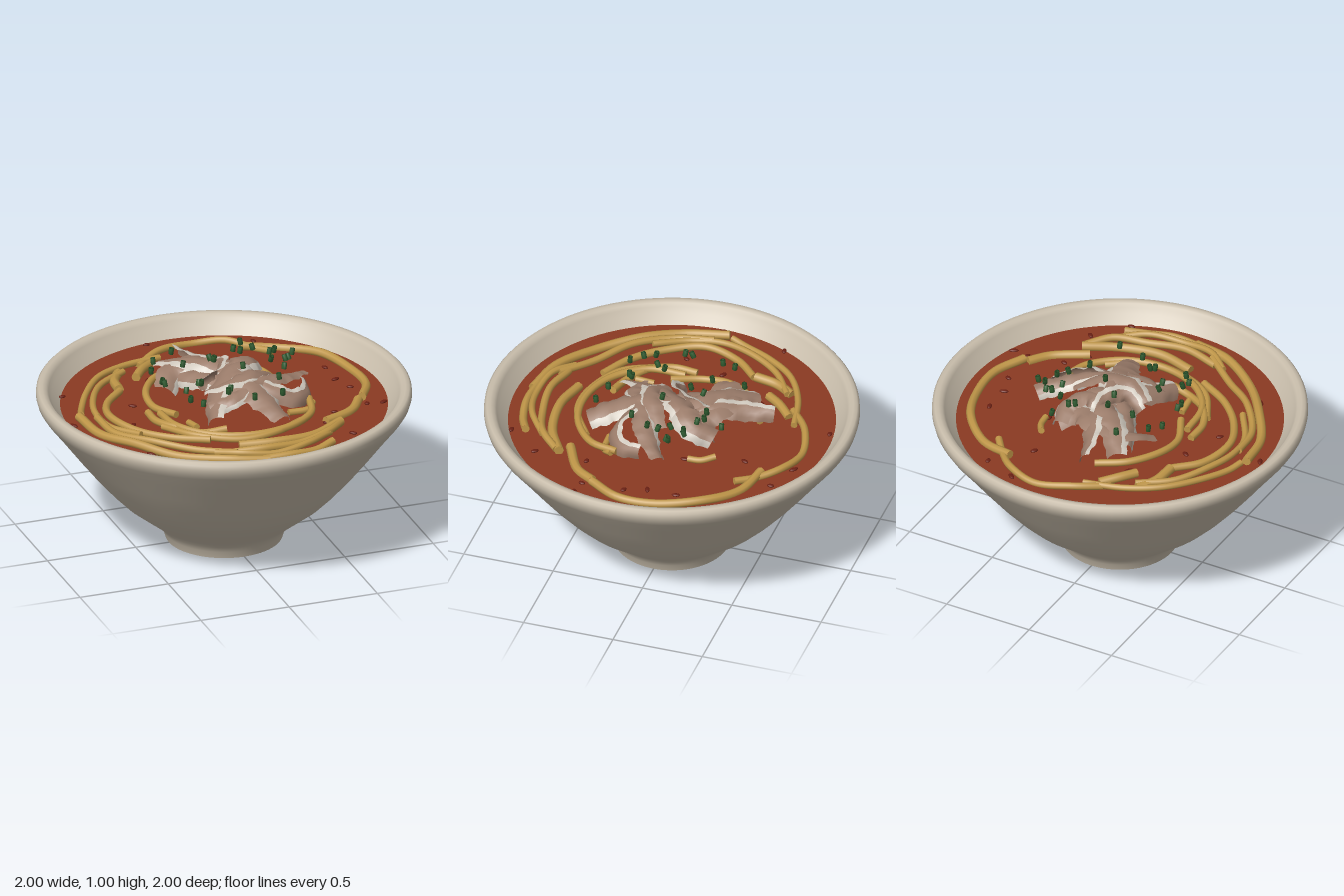
import * as THREE from 'three';

const flat = (name, color, side = THREE.FrontSide) => {
  const m = new THREE.MeshStandardMaterial({ color, side });
  m.name = name;
  return m;
};

export function createModel() {
  const ceramic = flat('ceramic', 0xc8bdab);
  const brothRed = flat('brothRed', 0x8b3a22);
  const noodleGold = flat('noodleGold', 0xbf9648);
  const meatBrown = flat('meatBrown', 0x9c7d6b, THREE.DoubleSide);
  const fatCream = flat('fatCream', 0xcfc8bd, THREE.DoubleSide);
  const scallionGreen = flat('scallionGreen', 0x2f5c30, THREE.DoubleSide);
  const chiliRed = flat('chiliRed', 0x6a2014);

  const model = new THREE.Group();
  model.name = 'noodleBowl';
  const group = (name) => {
    const g = new THREE.Group();
    g.name = name;
    model.add(g);
    return g;
  };
  const add = (parent, name, geometry, material) => {
    const m = new THREE.Mesh(geometry, material);
    m.name = name;
    parent.add(m);
    return m;
  };

  // Bowl: outer wall, rounded rim and inner wall in one profile
  const profile = [
    [0.312, 0], [0.325, 0.04], [0.345, 0.075], [0.375, 0.105], [0.46, 0.172], [0.555, 0.248],
    [0.63, 0.325], [0.72, 0.43], [0.81, 0.545], [0.9, 0.665], [0.97, 0.755], [0.992, 0.79],
    [1, 0.82], [0.998, 0.845], [0.985, 0.859], [0.965, 0.861], [0.945, 0.855], [0.932, 0.838],
    [0.915, 0.81], [0.862, 0.745], [0.84, 0.72],
  ].map(([r, y]) => new THREE.Vector2(r, y));
  const bowl = group('bowl');
  add(bowl, 'bowlWall', new THREE.LatheGeometry(profile, 96), ceramic);
  add(bowl, 'bowlBase', new THREE.CircleGeometry(0.312, 96).rotateX(Math.PI / 2), ceramic);

  // Broth
  const BROTH = 0.762;
  const broth = add(model, 'broth', new THREE.CircleGeometry(0.872, 96).rotateX(-Math.PI / 2), brothRed);
  broth.position.y = BROTH;

  // Noodles: tubes through [x, z] points, gently rising out of the broth
  const noodles = group('noodles');
  const noodle = (r, lift, ...pts) => {
    const path = new THREE.CatmullRomCurve3(pts.map(([x, z], i) =>
      new THREE.Vector3(x, BROTH + lift + 0.008 * Math.sin(i * 2.1 + x * 5), z)));
    add(noodles, 'noodle', new THREE.TubeGeometry(path, 40, r, 8), noodleGold);
    for (const end of [0, 1]) {
      const cap = add(noodles, 'noodleEnd', new THREE.CircleGeometry(r, 8), noodleGold);
      cap.position.copy(path.getPointAt(end));
      const t = path.getTangentAt(end).multiplyScalar(end ? 1 : -1);
      cap.quaternion.setFromUnitVectors(new THREE.Vector3(0, 0, 1), t);
    }
  };
  noodle(0.02, 0.016, [-0.27, -0.59], [-0.1, -0.71], [0.1, -0.76], [0.27, -0.71], [0.38, -0.6], [0.46, -0.5]);
  noodle(0.024, 0.014, [0.33, -0.61], [0.52, -0.55], [0.69, -0.39], [0.78, -0.15], [0.785, 0.05], [0.7, 0.22]);
  noodle(0.026, 0.012, [0.68, 0.22], [0.6, 0.33], [0.42, 0.43]);
  noodle(0.018, 0.02, [-0.13, -0.64], [-0.35, -0.59], [-0.53, -0.49], [-0.66, -0.33], [-0.75, -0.16], [-0.78, -0.08]);
  noodle(0.018, 0.03, [-0.38, -0.52], [-0.55, -0.4], [-0.66, -0.22], [-0.71, -0.05], [-0.69, 0.12], [-0.58, 0.3]);
  noodle(0.027, 0.016, [-0.4, -0.54], [-0.46, -0.44], [-0.48, -0.31]);
  noodle(0.025, 0.016, [-0.2, -0.59], [-0.28, -0.51], [-0.34, -0.43]);
  noodle(0.021, 0.025, [-0.48, -0.3], [-0.6, -0.17], [-0.65, 0.02], [-0.57, 0.22], [-0.43, 0.37], [-0.25, 0.47]);
  noodle(0.025, 0.018, [-0.8, -0.06], [-0.76, 0.17], [-0.64, 0.37], [-0.47, 0.58], [-0.25, 0.73], [-0.03, 0.79]);
  noodle(0.02, 0.028, [-0.72, 0.0], [-0.69, 0.2], [-0.55, 0.4], [-0.36, 0.55], [-0.18, 0.69]);
  noodle(0.021, 0.02, [-0.43, 0], [-0.43, 0.13], [-0.36, 0.26], [-0.25, 0.34], [-0.12, 0.37]);
  noodle(0.02, 0.03, [-0.38, 0.05], [-0.36, 0.25], [-0.22, 0.42], [-0.02, 0.49], [0.2, 0.46], [0.37, 0.33], [0.42, 0.17]);
  noodle(0.019, 0.022, [-0.42, 0.2], [-0.3, 0.39], [-0.08, 0.5], [0.12, 0.49], [0.3, 0.38]);
  noodle(0.018, 0.035, [-0.28, 0.63], [-0.16, 0.72], [0.02, 0.75], [0.22, 0.71], [0.38, 0.6]);
  noodle(0.026, 0.016, [-0.12, 0.56], [0.08, 0.6], [0.3, 0.57], [0.49, 0.47]);
  noodle(0.021, 0.03, [-0.22, 0.65], [-0.02, 0.69], [0.2, 0.66], [0.37, 0.6], [0.48, 0.49]);
  noodle(0.022, 0.016, [-0.1, 0.77], [0.1, 0.78], [0.25, 0.75], [0.36, 0.7]);
  noodle(0.02, 0.025, [-0.1, -0.46], [-0.26, -0.37], [-0.37, -0.2], [-0.38, -0.05], [-0.31, 0.11]);
  noodle(0.018, 0.02, [0.29, -0.34], [0.33, -0.27], [0.34, -0.2]);
  noodle(0.018, 0.02, [-0.27, 0.19], [-0.26, 0.29]);
  noodle(0.018, 0.02, [0.43, 0.2], [0.39, 0.25], [0.27, 0.26]);

  // Meat slices: rolled, curling ribbons with a strip of fat along one edge
  const meat = group('meat');
  const ribbon = (path, width, roll, from, to, curl) => {
    const rows = 20, cols = 4, pos = [], idx = [];
    for (let i = 0; i <= rows; i++) {
      const t = i / rows, p = path.getPointAt(t), d = path.getTangentAt(t);
      const across = new THREE.Vector3(-d.z, 0, d.x).normalize();
      const up = new THREE.Vector3().crossVectors(d, across).normalize();
      if (up.y < 0) up.negate();
      const a = THREE.MathUtils.lerp(roll[0], roll[1], t);
      const side = across.clone().multiplyScalar(Math.cos(a)).addScaledVector(up, Math.sin(a));
      const normal = up.clone().multiplyScalar(Math.cos(a)).addScaledVector(across, -Math.sin(a));
      const w = width * (0.72 + 0.28 * Math.sin(Math.PI * t)) * (1 + 0.07 * Math.sin(i * 2.3));
      for (let j = 0; j <= cols; j++) {
        const u = from + (to - from) * j / cols;
        const q = p.clone().addScaledVector(side, u * w)
          .addScaledVector(normal, -curl * 4 * u * u + 0.012 * u * Math.sin(i * 1.3));
        pos.push(q.x, Math.max(q.y, BROTH - 0.01), q.z);
      }
    }
    for (let i = 0; i < rows; i++) for (let j = 0; j < cols; j++) {
      const a = i * (cols + 1) + j, b = a + cols + 1;
      idx.push(a, a + 1, b, b, a + 1, b + 1);
    }
    const g = new THREE.BufferGeometry();
    g.setAttribute('position', new THREE.Float32BufferAttribute(pos, 3));
    g.setIndex(idx);
    g.computeVertexNormals();
    return g;
  };
  const slice = (width, roll, curl, ...pts) => {
    const path = new THREE.CatmullRomCurve3(pts.map((p) => new THREE.Vector3(...p)));
    add(meat, 'meatSlice', ribbon(path, width, roll, -0.5, 0.27, curl), meatBrown);
    add(meat, 'fatEdge', ribbon(path, width, roll, 0.27, 0.5, curl), fatCream);
  };
  slice(0.12, [0.9, 0.2], 0.02, [-0.07, 0.87, -0.55], [-0.03, 0.89, -0.4], [0.05, 0.92, -0.22], [0.1, 0.87, -0.1]);
  slice(0.15, [0.3, -0.5], 0.03, [-0.21, 0.86, -0.43], [-0.13, 0.92, -0.3], [-0.02, 0.94, -0.16], [0.08, 0.88, -0.02]);
  slice(0.17, [-0.5, 0.4], 0.03, [-0.27, 0.83, -0.14], [-0.19, 0.89, -0.25], [-0.02, 0.92, -0.27], [0.13, 0.9, -0.22], [0.23, 0.85, -0.27]);
  slice(0.16, [0.2, -0.6], 0.04, [-0.04, 0.9, -0.12], [0.12, 0.95, -0.1], [0.22, 0.92, -0.18], [0.22, 0.86, -0.31]);
  slice(0.15, [0.7, -0.3], 0.03, [-0.18, 0.83, 0.31], [-0.1, 0.89, 0.14], [0.0, 0.93, 0.02], [0.12, 0.95, -0.08], [0.2, 0.9, -0.18]);
  slice(0.19, [-0.3, 0.4], 0.04, [0.2, 0.83, 0.41], [0.14, 0.89, 0.28], [0.07, 0.94, 0.12], [0.04, 0.94, -0.03]);
  slice(0.13, [-0.6, 0.5], 0.03, [0.46, 0.84, -0.09], [0.36, 0.88, 0.0], [0.25, 0.92, 0.08], [0.12, 0.93, 0.16]);
  slice(0.11, [1.2, 0.4], 0.02, [0.45, 0.84, 0.04], [0.42, 0.83, 0.16], [0.3, 0.85, 0.23], [0.15, 0.91, 0.16], [0.06, 0.9, 0.04]);
  slice(0.14, [0.5, -0.7], 0.03, [-0.12, 0.87, 0.04], [0.0, 0.94, 0.1], [0.14, 0.95, 0.08], [0.28, 0.88, 0.0]);
  slice(0.1, [-1, 0.6], 0.02, [-0.16, 0.85, 0.22], [-0.04, 0.89, 0.24], [0.06, 0.92, 0.17], [0.1, 0.93, 0.02]);
  slice(0.1, [1.1, 0.9], 0.02, [-0.14, 0.87, -0.04], [-0.05, 0.94, -0.02], [0.02, 0.95, -0.12], [0.02, 0.91, -0.22]);
  slice(0.13, [-0.8, -0.2], 0.03, [-0.22, 0.84, -0.3], [-0.16, 0.87, -0.18], [-0.06, 0.9, -0.04], [0.04, 0.88, 0.08]);

  // Scallion rings over the meat, [x, z]
  const scallions = group('scallions');
  const ringProfile = [[0.007, -0.017], [0.014, -0.017], [0.014, 0.017], [0.007, 0.017], [0.007, -0.017]]
    .map(([r, y]) => new THREE.Vector2(r, y));
  const ring = new THREE.LatheGeometry(ringProfile, 8);
  const ringSpots = [
    [0.22, -0.35], [0.14, -0.24], [0.18, -0.24], [0.24, -0.22], [-0.17, -0.17], [-0.02, -0.1],
    [-0.02, -0.17], [0.32, -0.17], [0.35, -0.18], [0.4, -0.1], [0.43, -0.12], [0.3, -0.09],
    [0.36, -0.04], [0.33, 0.03], [-0.35, 0.0], [-0.35, 0.04], [-0.18, 0.1], [-0.18, 0.14],
    [0.26, 0.14], [-0.28, 0.18], [-0.28, 0.25], [-0.07, 0.26], [-0.05, 0.24], [0.05, 0.34],
    [0.2, 0.36], [-0.23, 0.31], [-0.31, -0.25], [-0.35, -0.17], [-0.17, -0.35], [0.1, 0.02],
  ];
  ringSpots.forEach(([x, z], i) => {
    const m = add(scallions, 'scallionRing', ring, scallionGreen);
    m.position.set(x, 0.985 - 0.11 * Math.hypot(x, z) + 0.012 * Math.sin(i * 2.7), z);
    m.rotation.set(0.25 * Math.sin(i * 1.9), i, 0.25 * Math.cos(i * 3.1));
  });

  // Chili flakes floating on the broth, [x, z]
  const flakes = group('chiliFlakes');
  const flake = new THREE.SphereGeometry(0.019, 10, 6);
  const flakeSpots = [
    [-0.13, -0.84], [0.24, -0.76], [0.42, -0.69], [-0.28, -0.41], [-0.78, -0.37], [-0.47, -0.13],
    [0.66, -0.24], [0.25, -0.49], [0.66, -0.08], [0.7, 0.04], [-0.85, 0], [0.71, 0.27],
    [0.8, 0.28], [0.51, 0.31], [-0.59, 0.48], [-0.59, 0.43], [-0.47, 0.59], [0.36, 0.78],
    [0.51, 0.6], [0.33, -0.18], [-0.55, 0.1], [0.43, 0.42],
  ];
  flakeSpots.forEach(([x, z], i) => {
    const m = add(flakes, 'chiliFlake', flake, chiliRed);
    m.position.set(x, BROTH + 0.004, z);
    m.scale.set(1 + 0.45 * Math.sin(i * 1.7) ** 2, 0.4, 0.7);
    m.rotation.y = i * 2.4;
  });

  return model;
}
